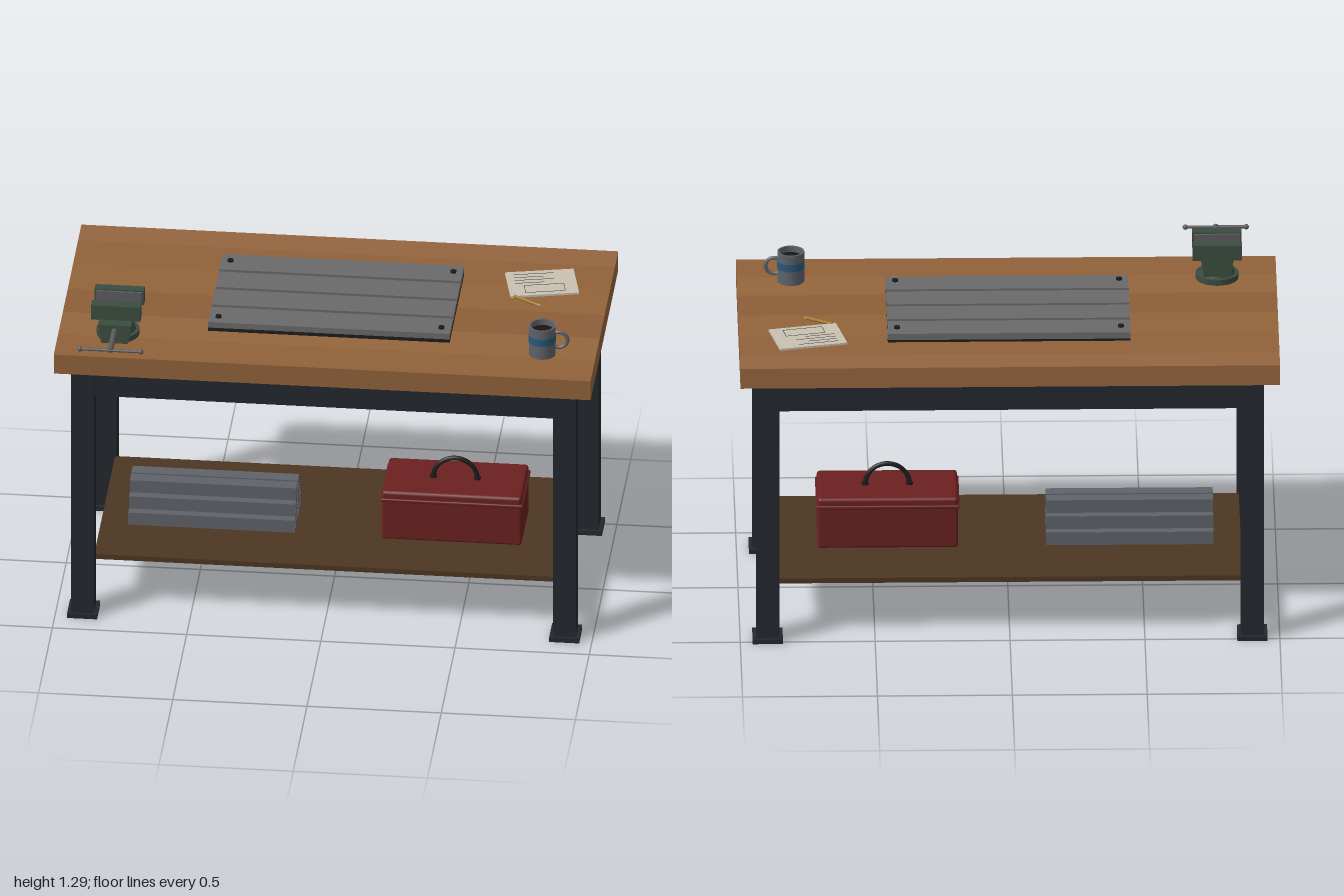
import * as THREE from 'three';
import { RoundedBoxGeometry } from 'three/addons/geometries/RoundedBoxGeometry.js';

const mat = (color) => new THREE.MeshStandardMaterial({ color });
const steel = mat(0x23282d), viseGreen = mat(0x3a4d40), metal = mat(0x5c5c60);
const plate = mat(0x6a6a6a), dark = mat(0x1c1c1e), red = mat(0x6b2020);
const darkWood = mat(0x4d3622), paperMat = mat(0xc9c2b0), ink = mat(0x4a4a4c);

function add(parent, name, geometry, material, x = 0, y = 0, z = 0) {
  const mesh = new THREE.Mesh(geometry, material);
  mesh.name = name;
  mesh.position.set(x, y, z);
  parent.add(mesh);
  return mesh;
}

// Box given by its limits on each axis
function box(parent, name, material, [x0, x1], [y0, y1], [z0, z1]) {
  const g = new THREE.BoxGeometry(x1 - x0, y1 - y0, z1 - z0);
  return add(parent, name, g, material, (x0 + x1) / 2, (y0 + y1) / 2, (z0 + z1) / 2);
}

function group(parent, name, x = 0, y = 0, z = 0) {
  const g = new THREE.Group();
  g.name = name;
  g.position.set(x, y, z);
  parent.add(g);
  return g;
}

function buildBench(root) {
  const bench = group(root, 'bench');
  // Worktop of planks in slightly different tones
  const joints = [-0.55, -0.43, -0.25, -0.06, 0.12, 0.29, 0.45];
  const tones = [0x966640, 0x8f613a, 0x926339, 0x8d5e38, 0x95653b, 0x90613a];
  tones.forEach((tone, i) =>
    box(bench, 'worktopPlank', mat(tone), [-1, 1], [1.05, 1.13], [joints[i], joints[i + 1]]));

  // Legs with foot plates
  for (const x of [-0.898, 0.898]) {
    for (const z of [-0.463, 0.363]) {
      add(bench, 'leg', new THREE.BoxGeometry(0.085, 1.04, 0.085), steel, x, 0.53, z);
      add(bench, 'footPlate', new THREE.BoxGeometry(0.112, 0.018, 0.112), steel, x, 0.009, z);
    }
    // Side apron
    box(bench, 'sideApron', steel, [x - 0.025, x + 0.025], [0.93, 1.05], [-0.43, 0.33]);
  }
  for (const z of [-0.463, 0.363])
    box(bench, 'longApron', steel, [-0.87, 0.87], [0.93, 1.05], [z - 0.025, z + 0.025]);
  box(bench, 'shelf', darkWood, [-0.862, 0.862], [0.205, 0.225], [-0.427, 0.327]);
}

function buildSlottedPlate(root) {
  const g = group(root, 'slottedPlate');
  box(g, 'plateBase', dark, [-0.45, 0.45], [1.13, 1.142], [-0.315, 0.21]);
  for (let i = 0; i < 4; i++) {
    const z = -0.318 + i * 0.1355;
    box(g, 'plateSlat', plate, [-0.45, 0.45], [1.14, 1.165], [z, z + 0.118]);
  }
  for (const x of [-0.415, 0.415])
    for (const z of [-0.265, 0.165])
      add(g, 'plateBolt', new THREE.CylinderGeometry(0.012, 0.012, 0.01, 6), dark, x, 1.168, z);
}

function buildVise(root) {
  const g = group(root, 'vise', -0.78, 1.13, 0);
  add(g, 'swivelBase', new THREE.CylinderGeometry(0.08, 0.08, 0.022, 20), viseGreen, 0, 0.011, 0.26);
  add(g, 'swivelNeck', new THREE.CylinderGeometry(0.055, 0.068, 0.035, 20), viseGreen, 0, 0.035, 0.26);
  // Body that widens towards the jaws
  const body = new THREE.Shape([[-0.05, 0.035], [0.05, 0.035], [0.062, 0.11], [-0.062, 0.11]]
    .map(([x, y]) => new THREE.Vector2(x, y)));
  const extrude = (depth) => new THREE.ExtrudeGeometry(body, { depth, bevelEnabled: false });
  add(g, 'fixedBody', extrude(0.075), viseGreen, 0, 0, 0.184);
  add(g, 'slidingBody', extrude(0.083), viseGreen, 0, -0.008, 0.307);
  box(g, 'slideBar', metal, [-0.03, 0.03], [0.045, 0.09], [0.22, 0.33]);
  for (const [z0, z1] of [[0.184, 0.22], [0.307, 0.348]])
    box(g, 'jaw', viseGreen, [-0.092, 0.092], [0.1, 0.16], [z0, z1]);
  for (const [z0, z1] of [[0.218, 0.229], [0.298, 0.309]])
    box(g, 'jawPlate', metal, [-0.085, 0.085], [0.105, 0.155], [z0, z1]);
  // Screw and sliding handle
  add(g, 'screw', new THREE.CylinderGeometry(0.011, 0.011, 0.17, 12), metal, 0, 0.08, 0.458)
    .rotation.x = Math.PI / 2;
  add(g, 'handleBar', new THREE.CylinderGeometry(0.006, 0.006, 0.225, 10), metal, 0, 0.08, 0.539)
    .rotation.z = Math.PI / 2;
  for (const x of [-0.113, 0.113])
    add(g, 'handleKnob', new THREE.SphereGeometry(0.01, 12, 8), metal, x, 0.08, 0.539);
}

function buildMug(root) {
  const g = group(root, 'mug', 0.8, 1.13, 0.255);
  const glaze = mat(0x5d636a);
  glaze.side = THREE.DoubleSide;
  const profile = [[0, 0], [0.05, 0], [0.05, 0.12], [0.043, 0.12], [0.043, 0.012], [0, 0.012]];
  // Each straight run is its own lathe so that the rims stay sharp
  for (let i = 0; i < profile.length - 1; i++) {
    const pts = [profile[i], profile[i + 1]].map(([x, y]) => new THREE.Vector2(x, y));
    add(g, 'mugWall', new THREE.LatheGeometry(pts, 28), glaze);
  }
  add(g, 'mugBand', new THREE.CylinderGeometry(0.051, 0.051, 0.03, 28), mat(0x2a5878), 0, 0.07, 0)
    .geometry = new THREE.CylinderGeometry(0.051, 0.051, 0.03, 28, 1, true);
  add(g, 'coffee', new THREE.CylinderGeometry(0.043, 0.043, 0.004, 28), mat(0x1d1410), 0, 0.095, 0);
  const handle = new THREE.TorusGeometry(0.032, 0.007, 8, 20, Math.PI * 1.4);
  add(g, 'mugHandle', handle, glaze, 0.062, 0.062, 0).rotation.z = -Math.PI * 0.7;
}

function buildNotes(root) {
  const g = group(root, 'notes', 0.745, 1.13, -0.27);
  g.rotation.y = 0.216;
  box(g, 'paper', paperMat, [-0.128, 0.128], [0, 0.008], [-0.092, 0.092]);
  // Pencilled rows and a sketched outline
  for (let i = 0; i < 4; i++)
    box(g, 'noteLine', ink, [-0.1, 0.05 - (i % 2) * 0.04], [0.008, 0.009], [-0.07 + i * 0.022, -0.068 + i * 0.022]);
  for (const z of [0.015, 0.07])
    box(g, 'sketchLine', ink, [-0.07, 0.08], [0.008, 0.009], [z, z + 0.002]);
  for (const x of [-0.07, 0.078])
    box(g, 'sketchLine', ink, [x, x + 0.002], [0.008, 0.009], [0.015, 0.07]);

  // Pencil with a sharpened tip
  const pencil = group(root, 'pencil', 0.7, 1.136, -0.13);
  pencil.rotation.y = -0.56;
  add(pencil, 'pencilShaft', new THREE.CylinderGeometry(0.006, 0.006, 0.11, 6), mat(0xa87a28))
    .rotation.z = Math.PI / 2;
  add(pencil, 'pencilTip', new THREE.ConeGeometry(0.006, 0.018, 6), mat(0xb59468), 0.064, 0, 0)
    .rotation.z = -Math.PI / 2;
}

function buildToolbox(root) {
  const g = group(root, 'toolbox', 0.447, 0.225, -0.027);
  add(g, 'toolboxBody', new RoundedBoxGeometry(0.52, 0.17, 0.268, 2, 0.01), red, 0, 0.087, 0);
  add(g, 'toolboxLid', new RoundedBoxGeometry(0.52, 0.05, 0.27, 2, 0.012), red, 0, 0.178, 0);
  add(g, 'lidLip', new RoundedBoxGeometry(0.532, 0.014, 0.28, 2, 0.005), red, 0, 0.168, 0);
  // Arched carrying handle
  add(g, 'carryHandle', new THREE.TorusGeometry(0.082, 0.009, 10, 28, Math.PI), dark, 0, 0.204, 0);
  for (const x of [-0.082, 0.082])
    add(g, 'handleMount', new THREE.CylinderGeometry(0.013, 0.013, 0.012, 12), dark, x, 0.206, 0);
}

function buildBarStock(root) {
  const g = group(root, 'barStock', -0.76, 0.225, -0.025);
  // Square tube, stacked in rows of four, three and two
  const square = (Type, h) => new Type([[-h, -h], [h, -h], [h, h], [-h, h]]
    .map(([x, y]) => new THREE.Vector2(x, y)));
  const section = square(THREE.Shape, 0.0255);
  section.holes.push(square(THREE.Path, 0.019));
  const tube = new THREE.ExtrudeGeometry(section, { depth: 0.62, bevelEnabled: false });
  tube.rotateY(Math.PI / 2);
  const tubeMat = mat(0x5f6269);
  for (let row = 0; row < 3; row++) {
    const count = 4 - row;
    for (let i = 0; i < count; i++)
      add(g, 'squareTube', tube, tubeMat, 0, 0.026 + row * 0.052, (i - (count - 1) / 2) * 0.06);
  }
}

export function createModel() {
  const root = new THREE.Group();
  root.name = 'workbench';
  buildBench(root);
  buildSlottedPlate(root);
  buildVise(root);
  buildMug(root);
  buildNotes(root);
  buildToolbox(root);
  buildBarStock(root);
  return root;
}
